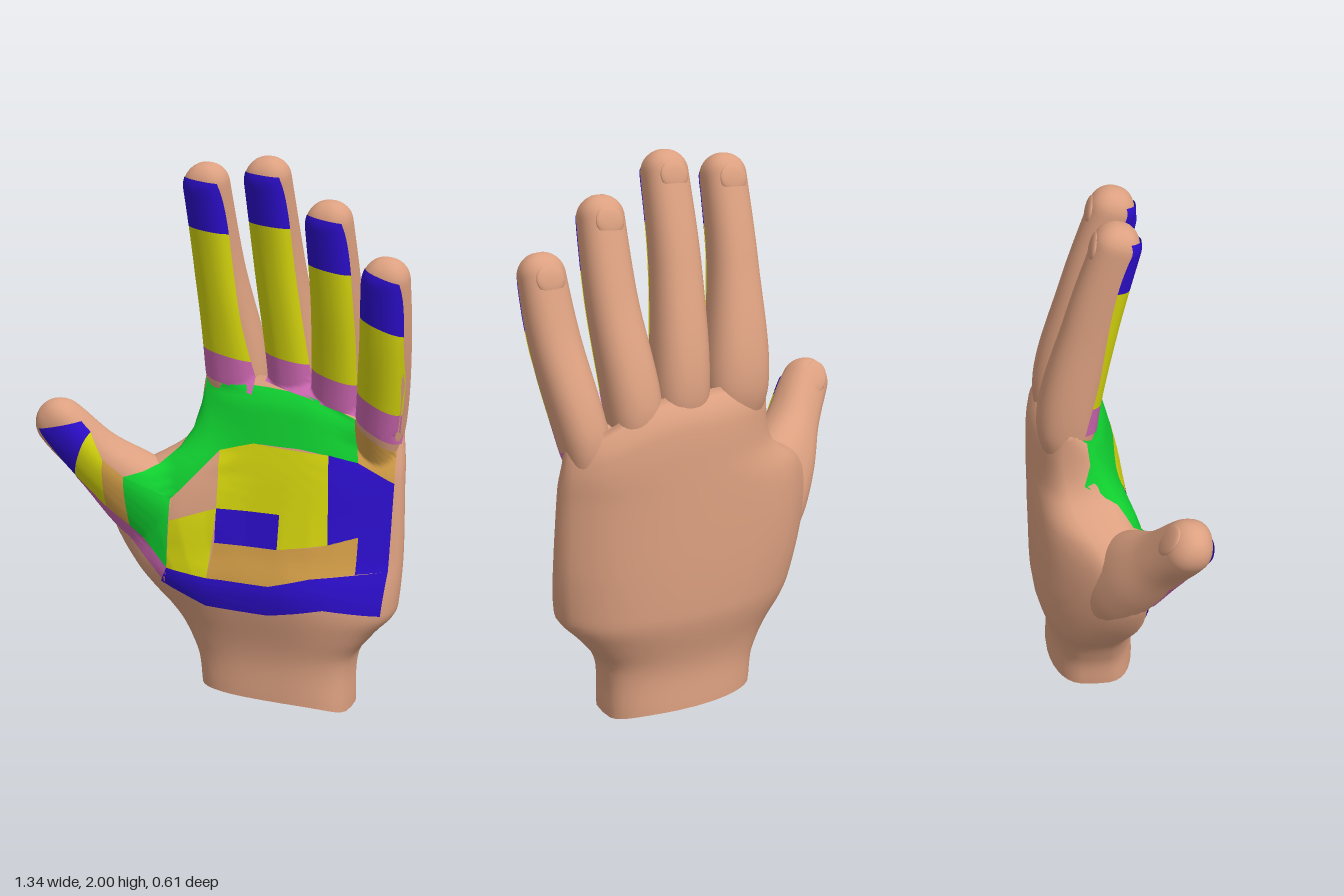
import * as THREE from 'three';

const SKIN = 0xdca080, BLUE = 0x2c0ecb, YELLOW = 0xd6d60e, GREEN = 0x10d030, PINK = 0xcc66b0, ORANGE = 0xd6a048;
const SEG = 36;
const V = (x, y, z) => new THREE.Vector3(x, y, z);
const material = (color) => new THREE.MeshStandardMaterial({ color, side: THREE.DoubleSide });

// Smooth lookup through [input, value] pairs
function lut(table, v) {
  const n = table.length - 1;
  if (v <= table[0][0]) return table[0][1];
  if (v >= table[n][0]) return table[n][1];
  let i = 0;
  while (v > table[i + 1][0]) i++;
  const slope = (k) => {
    const a = table[Math.max(k - 1, 0)], b = table[Math.min(k + 1, n)];
    return (b[1] - a[1]) / (b[0] - a[0]);
  };
  const [x0, y0] = table[i], [x1, y1] = table[i + 1], h = x1 - x0, t = (v - x0) / h;
  const t2 = t * t, t3 = t2 * t;
  return (2 * t3 - 3 * t2 + 1) * y0 + (t3 - 2 * t2 + t) * h * slope(i)
    + (3 * t2 - 2 * t3) * y1 + (t3 - t2) * h * slope(i + 1);
}

// One ring of points, from a rule taking the rounded cosine and sine
function ring(pc, ps, rule) {
  const power = (v, p) => Math.sign(v) * Math.abs(v) ** p;
  return Array.from({ length: SEG }, (_, j) => {
    const a = (j / SEG) * Math.PI * 2;
    return rule(power(Math.cos(a), pc), power(Math.sin(a), ps));
  });
}

function surface(name, color, points, index) {
  const geo = new THREE.BufferGeometry().setFromPoints(points);
  geo.setIndex(index);
  geo.computeVertexNormals();
  const mesh = new THREE.Mesh(geo, material(color));
  mesh.name = name;
  return mesh;
}

// Skin through a list of rings, open at the first and closed at the last
function skin(name, rings) {
  const last = rings[rings.length - 1];
  const end = last.reduce((s, p) => s.add(p), V(0, 0, 0)).divideScalar(SEG);
  const index = [];
  for (let i = 0; i < rings.length; i++) {
    for (let j = 0; j < SEG; j++) {
      const k = (j + 1) % SEG, a = i * SEG, b = a + SEG;
      index.push(a + j, b + j, a + k, b + j, b + k, a + k);
    }
  }
  return surface(name, SKIN, [...rings, last.map(() => end)].flat(), index);
}

// Digit along a path, with half widths and half depths at its points and a rounded tip
function digit(name, points, widths, depths) {
  const path = new THREE.CatmullRomCurve3(points);
  const size = new THREE.CatmullRomCurve3(widths.map((w, i) => V(w, depths[i], 0)), false, 'catmullrom');
  const tip = path.getPoint(1), rings = [], N = 48;
  for (let i = 0; i < N; i++) {
    const u = 1 - (1 - i / N) ** 1.5, c = path.getPoint(u), t = path.getTangent(u), s = size.getPoint(u);
    const side = t.clone().cross(V(0, 0, 1)).normalize(), depth = side.clone().cross(t);
    const left = Math.min(1, c.distanceTo(tip) / (s.x * 0.95));
    const round = Math.sqrt(1 - (1 - left) ** 2);
    rings.push(ring(0.85, 0.85, (ca, sa) => c.clone()
      .addScaledVector(side, ca * s.x * round).addScaledVector(depth, sa * s.y * round)));
  }
  return skin(name, rings);
}

// Palm, heel and wrist: side outlines over y, back and front depth over x and y
const LEFT = [[0, -0.12], [0.15, -0.14], [0.28, -0.2], [0.4, -0.3], [0.57, -0.41], [0.7, -0.45], [0.8, -0.42],
  [0.88, -0.34], [0.92, -0.27], [0.97, -0.2], [1.05, -0.165], [1.21, -0.155]];
const RIGHT = [[0, 0.46], [0.2, 0.47], [0.3, 0.54], [0.4, 0.62], [0.9, 0.625], [1.21, 0.61]];
const BACK_X = [[-0.45, -0.06], [-0.38, -0.13], [-0.25, -0.24], [-0.1, -0.28], [0.2, -0.31], [0.5, -0.27], [0.64, -0.19]];
const BACK_Y = [[0, 0.05], [0.2, 0.05], [0.42, 0], [1, 0], [1.21, 0.02]];
const FRONT_Y = [[0, 0.085], [0.2, 0.08], [0.45, 0.12], [0.6, 0.085], [0.9, 0.03], [1.1, -0.02], [1.21, -0.055]];
const THENAR_X = [[-0.45, 0.09], [-0.18, 0.06], [0, 0]];
const THENAR_Y = [[0.35, 0], [0.5, 0.5], [0.7, 1], [0.9, 0.85], [1.1, 0]];

function palm() {
  const rings = [], N = 60, { smoothstep } = THREE.MathUtils;
  for (let i = 0; i <= N; i++) {
    const y = (i / N) * 1.21, l = lut(LEFT, y), r = lut(RIGHT, y);
    const thick = y > 1.1 ? Math.sqrt(Math.max(0.1, 1 - ((y - 1.1) / 0.13) ** 2)) : 1;
    rings.push(ring(0.75, 0.6, (c, s) => {
      const x = (l + r) / 2 + c * (r - l) / 2;
      const front = lut(FRONT_Y, y) + lut(THENAR_X, x) * lut(THENAR_Y, y)
        - 0.06 * smoothstep(x, 0.25, 0.65) * smoothstep(y, 0.2, 0.5);
      const back = lut(BACK_X, x) + lut(BACK_Y, y);
      const drop = 0.13 * smoothstep(x, 0.25, 0.6) * smoothstep(y, 0.8, 1.21);
      const hem = 0.035 * (1 - Math.max(c, 0) ** 4) * Math.max(0, 1 - y / 0.2);
      return V(x, y - drop + hem, (front + back) / 2 + s * thick * (front - back) / 2);
    }));
  }
  return skin('palm', rings);
}

// Coloured patch ruled between two [x, y] polylines and laid onto the skin
function patch(targets, name, color, from, to) {
  const N = 16, ray = new THREE.Raycaster(), dir = V(0, 0, -1), pts = [], hit = [], index = [];
  const along = (line, u) => {
    const f = u * (line.length - 1), i = Math.min(Math.floor(f), line.length - 2), t = f - i;
    return [0, 1].map((k) => line[i][k] * (1 - t) + line[i + 1][k] * t);
  };
  for (let i = 0; i <= N; i++) {
    for (let j = 0; j <= N; j++) {
      const a = along(from, j / N), b = along(to, j / N), t = i / N;
      const p = V(a[0] * (1 - t) + b[0] * t, a[1] * (1 - t) + b[1] * t, 1);
      ray.set(p, dir);
      const h = ray.intersectObjects(targets, false)[0];
      hit.push(!!h && h.point.z > -0.15);
      pts.push(V(p.x, p.y, h ? h.point.z + 0.006 : 0));
    }
  }
  const tri = (...t) => { if (t.every((k) => hit[k])) index.push(...t); };
  for (let i = 0; i < N; i++) {
    for (let j = 0; j < N; j++) {
      const a = i * (N + 1) + j, b = a + N + 1;
      tri(a, a + 1, b);
      tri(a + 1, b + 1, b);
    }
  }
  return surface(name, color, pts, index);
}

function nail(name, [a, b], normal, height) {
  const mesh = new THREE.Mesh(new THREE.SphereGeometry(1, 20, 12), material(SKIN));
  const up = b.clone().sub(a).normalize(), z = normal.normalize();
  const x = up.clone().cross(z).normalize(), y = z.clone().cross(x);
  mesh.quaternion.setFromRotationMatrix(new THREE.Matrix4().makeBasis(x, y, z));
  mesh.scale.set(0.052, height, 0.014);
  mesh.position.copy(b).addScaledVector(up, -0.1).addScaledVector(z, 0.071);
  mesh.name = name;
  return mesh;
}

// Fingers: base, middle and tip of the path, root inside the palm, base half width, slant of the patches
const FINGERS = [
  { name: 'index', path: [V(-0.038, 1.2, -0.165), V(-0.074, 1.6, -0.08), V(-0.087, 1.975, 0.03)],
    root: V(-0.02, 1, -0.14), w: 0.115, slant: 0.05 },
  { name: 'middle', path: [V(0.19, 1.2, -0.175), V(0.157, 1.62, -0.085), V(0.145, 2, 0.03)],
    root: V(0.19, 1, -0.15), w: 0.098, slant: 0.04 },
  { name: 'ring', path: [V(0.362, 1.15, -0.16), V(0.384, 1.52, -0.05), V(0.38, 1.86, 0.05)],
    root: V(0.355, 0.95, -0.15), w: 0.095, slant: 0.06 },
  { name: 'little', path: [V(0.535, 1.08, -0.115), V(0.58, 1.4, -0.005), V(0.598, 1.68, 0.07)],
    root: V(0.5, 0.88, -0.14), w: 0.085, slant: 0.1 },
];
const THUMB = [V(-0.12, 0.52, -0.05), V(-0.25, 0.66, -0.01), V(-0.37, 0.79, 0.06), V(-0.475, 0.91, 0.14),
  V(-0.565, 1.025, 0.205), V(-0.635, 1.11, 0.24)];

// Base, pad and tip patches up one finger, their edges following its width
function fingerPatches(targets, { name, path, w, slant }) {
  const [base, mid, tip] = path;
  const centre = path.map((p) => [p.y, p.x]);
  const width = [[base.y, w], [base.y + 0.2, 0.091], [mid.y, 0.086], [tip.y - 0.1, 0.08], [tip.y, 0.055]];
  const levels = [base.y - 0.025, base.y + 0.085, tip.y - 0.233, tip.y - 0.058];
  const parts = [['Base', PINK], ['Pad', YELLOW], ['TipPad', BLUE]];
  return parts.map(([part, color], k) => {
    const edge = (side) => Array.from({ length: 8 }, (_, i) => {
      const y = THREE.MathUtils.lerp(levels[k], levels[k + 1], i / 7);
      const tilt = slant * (1 - 0.6 * (y - base.y) / (tip.y - base.y));
      return [lut(centre, y) + side * lut(width, y) * 0.9, y - side * tilt / 2];
    });
    return patch(targets, name + part, color, edge(-1), edge(1));
  });
}

// Seams between the palm patches, as [x, y]
const HEEL_LOW = [[-0.23, 0.45], [-0.05, 0.38], [0.2, 0.38], [0.4, 0.42], [0.59, 0.4]];
const HEEL_TOP = [[-0.2, 0.51], [-0.04, 0.49], [0.2, 0.49], [0.35, 0.53], [0.5, 0.55]];
const BAND_TOP = [[-0.02, 0.62], [0.2, 0.62], [0.36, 0.64], [0.5, 0.68]];
const ARCH_IN = [[-0.19, 0.77], [-0.15, 0.81], [-0.09, 0.88], [-0.03, 0.95], [0.1, 0.985], [0.3, 0.98], [0.48, 0.94]];
const ARCH_OUT = [[-0.34, 0.855], [-0.265, 0.875], [-0.185, 0.955], [-0.145, 1.185], [0.1, 1.18], [0.28, 1.165], [0.455, 1.09]];
const THUMB_SEAMS = [[[-0.625, 1.03], [-0.48, 1.06]], [[-0.52, 0.85], [-0.45, 1.02]], [[-0.42, 0.73], [-0.405, 0.92]],
  [[-0.34, 0.66], ARCH_OUT[0]], [HEEL_TOP[0], ARCH_IN[0]]];
const OUTER = [[0.605, 0.56], [0.605, 0.67], [0.605, 0.87], [0.6, 0.98]];
const SPOT_TOP = [[-0.02, 0.745], [0.22, 0.745], [0.394, 0.745]];

function palmPatches(targets) {
  const strip = THUMB_SEAMS.slice(1).map((s) => s[0]);
  const corner = [0.38, 0.965];
  const list = [
    ['upperPalmPatch', GREEN, ARCH_IN, ARCH_OUT],
    ['palmCentrePatch', YELLOW, SPOT_TOP, [...ARCH_IN.slice(3, 5), corner]],
    ['palmCentreSidePatch', YELLOW, [[0.22, 0.62], [0.4, 0.65]], SPOT_TOP.slice(1)],
    ['palmSpot', BLUE, BAND_TOP.slice(0, 2).map(([x, y], i) => [x + 0.02 * i, y]), SPOT_TOP.slice(0, 2)],
    ['innerThenarPatch', YELLOW, HEEL_TOP.slice(0, 2), [[-0.19, 0.69], SPOT_TOP[0]]],
    ['lowerPalmBand', ORANGE, HEEL_TOP.slice(1), BAND_TOP],
    ['heelPatch', BLUE, HEEL_LOW, [...HEEL_TOP.slice(0, 4), OUTER[0]]],
    ['outerHeelPatch', BLUE, [HEEL_TOP[4], OUTER[0]], [BAND_TOP[3], OUTER[1]]],
    ['outerPalmPatch', BLUE, [[0.4, 0.65], BAND_TOP[3], OUTER[1]], [corner, ARCH_IN[6], OUTER[2]]],
    ['littleMountPatch', ORANGE, [ARCH_IN[6], OUTER[2]], [ARCH_OUT[6], OUTER[3]]],
    ['thumbEdgeStrip', PINK, strip, strip.map(([x, y], i) => [x - 0.012, y - 0.03 - 0.03 * Math.min(i, 1)])],
  ];
  const thumbParts = [['thumbTipPad', BLUE], ['thumbPad', YELLOW], ['thumbBasePatch', ORANGE], ['thenarPatch', GREEN]];
  thumbParts.forEach((part, i) => list.push([...part, THUMB_SEAMS[i], THUMB_SEAMS[i + 1]]));
  return list.map((p) => patch(targets, ...p));
}

export function createModel() {
  const hand = new THREE.Group();
  hand.name = 'hand';
  const fingers = FINGERS.map(({ name, path, root, w }) =>
    digit(name + 'Finger', [root, ...path], [0.07, w, 0.086, 0.078], [0.06, 0.105, 0.091, 0.075]));
  const thumb = digit('thumb', THUMB, [0.15, 0.17, 0.14, 0.1, 0.092, 0.08], [0.1, 0.125, 0.12, 0.1, 0.085, 0.07]);
  const skins = [palm(), ...fingers, thumb];
  hand.add(...skins, ...palmPatches(skins));

  for (const finger of FINGERS) {
    hand.add(...fingerPatches(skins, finger), nail(finger.name + 'Nail', finger.path.slice(1), V(0, 0.28, -1), 0.05));
  }
  hand.add(nail('thumbNail', THUMB.slice(-2), V(-0.1, 0.45, -0.8), 0.07));
  return hand;
}
